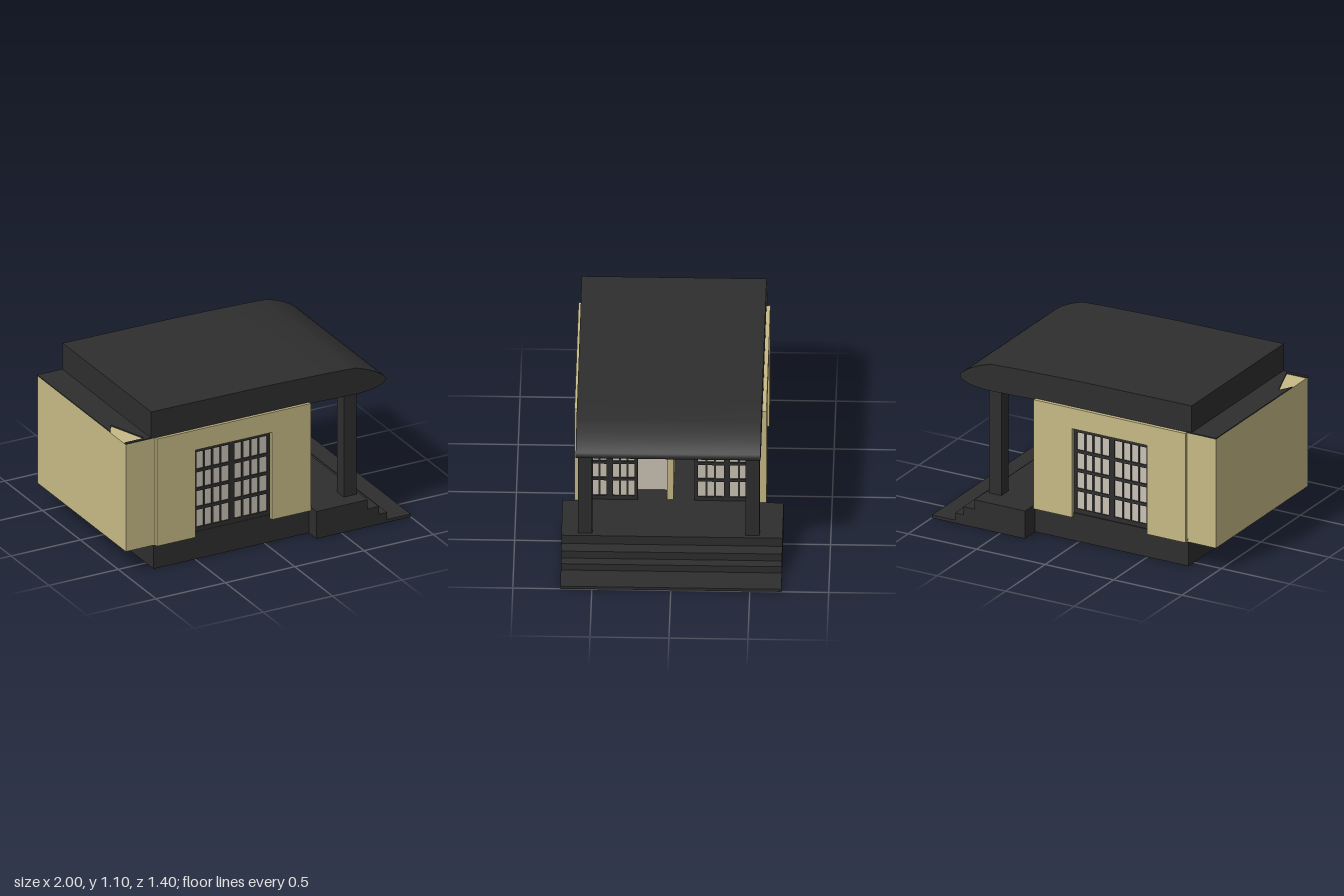
import * as THREE from 'three';
import { toCreasedNormals } from 'three/addons/utils/BufferGeometryUtils.js';

const material = (name, color) => {
  const m = new THREE.MeshStandardMaterial({ color });
  m.name = name;
  return m;
};

export function createModel() {
  const model = new THREE.Group();
  model.name = 'house';
  const dark = material('charcoal', 0x2e2e2e);
  const wall = material('sandWall', 0xc8ba86);
  const pale = material('palePane', 0xcbc3b5);
  const brown = material('brown', 0x84745a);

  const add = (parent, name, geometry, mat) => {
    const mesh = new THREE.Mesh(geometry, mat);
    mesh.name = name;
    parent.add(mesh);
    return mesh;
  };
  // Box given by its two limits on each axis
  const box = (parent, name, mat, x0, x1, y0, y1, z0, z1) => {
    const mesh = add(parent, name, new THREE.BoxGeometry(x1 - x0, y1 - y0, z1 - z0), mat);
    mesh.position.set((x0 + x1) / 2, (y0 + y1) / 2, (z0 + z1) / 2);
    return mesh;
  };
  const polygon = (points) => new THREE.Shape(points.map(([x, y]) => new THREE.Vector2(x, y)));

  // Foundation, porch and steps
  box(model, 'foundation', dark, -0.8, 0.32, 0, 0.19, -0.57, 0.6);
  const steps = [[0.69, 0.19], [0.77, 0.125], [0.83, 0.07], [1, 0.02]];
  let start = 0.32;
  steps.forEach(([end, top], i) => {
    box(model, i ? 'step' + i : 'porchFloor', dark, start, end, 0, top, -0.7, 0.7);
    start = end;
  });

  // Porch columns
  for (const z of [0.55, -0.51]) box(model, 'column', dark, 0.575, 0.665, 0.19, 0.91, z - 0.045, z + 0.045);

  // Side walls with openings that reach down to the foundation
  const sideOutline = [[-0.79, 0.165], [-0.51, 0.165], [-0.51, 0.775], [0.04, 0.775],
    [0.04, 0.165], [0.32, 0.165], [0.32, 0.915], [-0.79, 0.915]];
  for (const [name, z] of [['leftSideWall', 0.58], ['rightSideWall', -0.59]]) {
    const geometry = new THREE.ExtrudeGeometry(polygon(sideOutline), { depth: 0.045, bevelEnabled: false });
    add(model, name, geometry, wall).position.z = z;
  }

  // Beam over the entrance and rear block
  box(model, 'entranceBeam', wall, 0.27, 0.318, 0.785, 0.915, -0.55, 0.585);
  box(model, 'rearBlock', wall, -1, -0.785, 0.165, 0.912, -0.57, 0.6);

  // Windows: pale sheet, frame and glazing bars, built facing +z from the lower left corner
  const makeWindow = (name, width, leaves, columns) => {
    const group = new THREE.Group();
    group.name = name;
    const height = 0.585;
    const rows = 4;
    const depth = 0.012;
    box(group, 'panes', pale, 0, width, 0, height, -0.004, 0.004);
    for (const y of [0, height - 0.03]) box(group, 'frameRail', dark, 0, width, y, y + 0.03, -depth, depth);
    for (let r = 1; r < rows; r++) {
      const y = 0.03 + r * (height - 0.06) / rows;
      box(group, 'crossBar', dark, 0, width, y - 0.011, y + 0.011, -depth, depth);
    }
    const leafWidth = width / leaves;
    for (let l = 0; l < leaves; l++) {
      const x0 = l * leafWidth;
      for (const x of [x0, x0 + leafWidth - 0.02]) box(group, 'stile', dark, x, x + 0.02, 0, height, -depth - 0.001, depth + 0.001);
      for (let c = 1; c < columns; c++) {
        const x = x0 + 0.02 + c * (leafWidth - 0.04) / columns;
        box(group, 'uprightBar', dark, x - 0.006, x + 0.006, 0.02, height - 0.02, -depth + 0.001, depth - 0.001);
      }
    }
    model.add(group);
    return group;
  };
  makeWindow('leftSideWindow', 0.55, 2, 4).position.set(-0.51, 0.19, 0.585);
  const rightWindow = makeWindow('rightSideWindow', 0.55, 2, 4);
  rightWindow.position.set(0.04, 0.19, -0.55);
  rightWindow.rotation.y = Math.PI;
  for (const [name, z] of [['entranceWindowLeft', 0.58], ['entranceWindowRight', -0.135]]) {
    const entrance = makeWindow(name, z > 0 ? 0.355 : 0.41, 2, 3);
    entrance.position.set(0.295, 0.19, z);
    entrance.rotation.y = Math.PI / 2;
  }

  // Entrance: recessed door with knob, dividing wall and inner room
  box(model, 'door', pale, 0.18, 0.2, 0.19, 0.785, 0.04, 0.24);
  const knob = add(model, 'doorKnob', new THREE.SphereGeometry(0.016, 16, 12), dark);
  knob.position.set(0.21, 0.54, 0.085);
  box(model, 'dividingWall', wall, -0.3, 0.3, 0.19, 0.785, 0, 0.04);
  box(model, 'innerWall', pale, -0.32, -0.3, 0.19, 0.785, -0.54, 0.575);
  box(model, 'innerPanel', brown, -0.3, -0.293, 0.355, 0.785, -0.4, 0);
  box(model, 'ceiling', pale, -0.78, 0.27, 0.785, 0.8, -0.54, 0.575);

  // Roof with rounded nose over the porch
  const roof = new THREE.Shape();
  roof.moveTo(-0.82, 0.915);
  roof.lineTo(0.32, 0.905);
  roof.lineTo(0.66, 0.896);
  roof.quadraticCurveTo(0.8, 0.898, 0.86, 0.935);
  roof.quadraticCurveTo(0.885, 0.955, 0.86, 0.98);
  roof.quadraticCurveTo(0.79, 1.04, 0.65, 1.08);
  roof.lineTo(0.45, 1.088);
  roof.lineTo(0, 1.098);
  roof.lineTo(-0.82, 1.103);
  const roofGeometry = new THREE.ExtrudeGeometry(roof, { depth: 1.17, bevelEnabled: false, curveSegments: 8 });
  add(model, 'roof', toCreasedNormals(roofGeometry, 0.6), dark).position.z = -0.565;

  // Thin deck on the rear block, cut away at one corner
  const deck = polygon([[-1, 0.57], [-1, -0.4], [-0.95, -0.31], [-0.855, -0.58], [-1, -0.58],
    [-1, -0.6], [-0.78, -0.6], [-0.78, 0.57]]);
  const deckGeometry = new THREE.ExtrudeGeometry(deck, { depth: 0.008, bevelEnabled: false });
  deckGeometry.rotateX(-Math.PI / 2);
  add(model, 'rearDeck', deckGeometry, dark).position.y = 0.912;

  return model;
}
